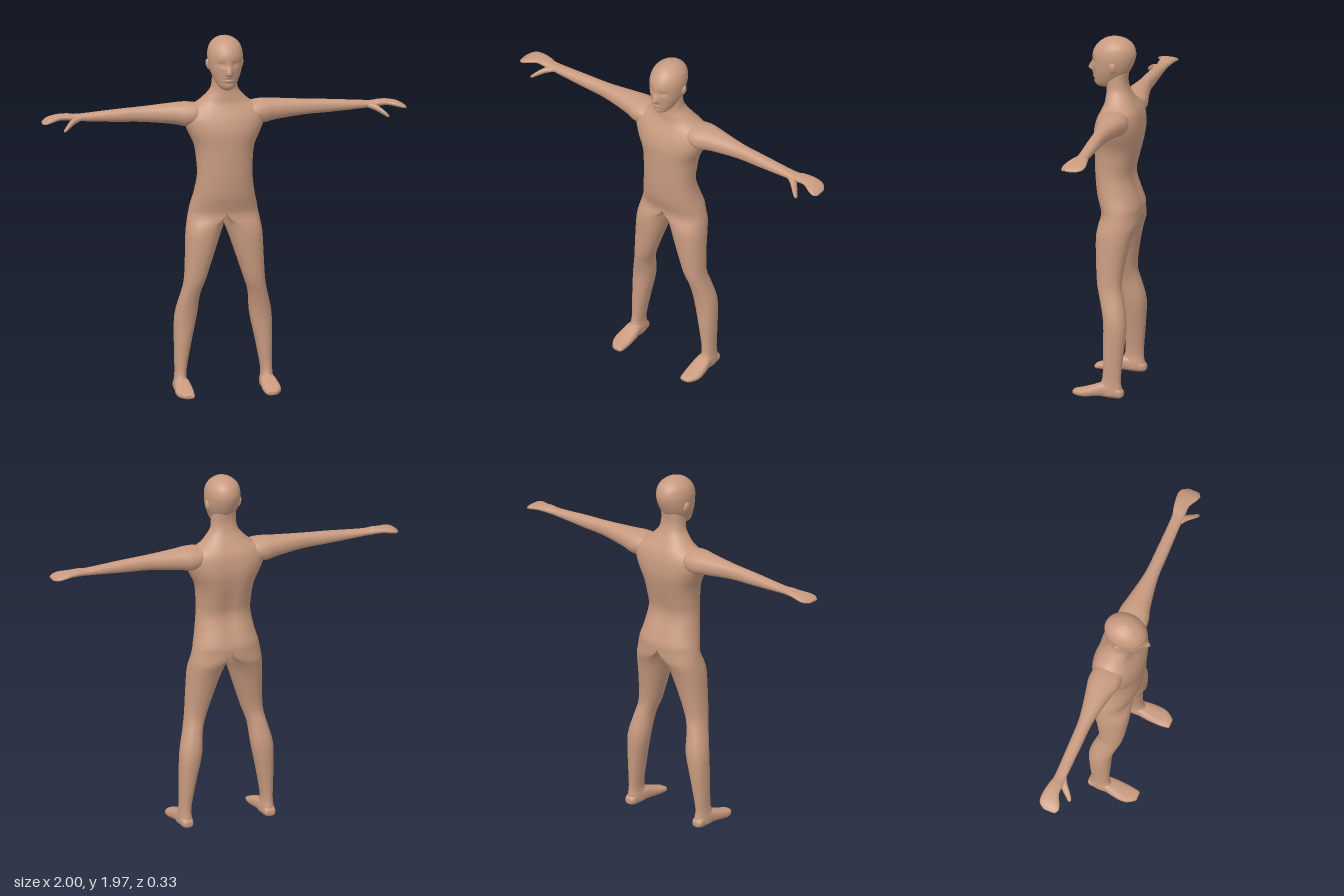
import * as THREE from 'three';
import { mergeGeometries, mergeVertices } from 'three/addons/utils/BufferGeometryUtils.js';

const skin = new THREE.MeshStandardMaterial({ color: 0xc99b80 });
skin.name = 'skin';

// Smoothly blends a list of cross-section rows, n steps between neighbours
function blend(rows, n) {
  const out = [];
  const at = i => rows[Math.min(Math.max(i, 0), rows.length - 1)];
  for (let i = 0; i < rows.length - 1; i++) {
    for (let s = 0; s < n; s++) {
      const k = s / n;
      out.push(at(i).map((b, j) => {
        const a = at(i - 1)[j], c = at(i + 1)[j], d = at(i + 2)[j];
        return b + 0.5 * k * (c - a + k * (2 * a - 5 * b + 4 * c - d + k * (3 * (b - c) + d - a)));
      }));
    }
  }
  out.push(at(rows.length - 1));
  return out;
}

// Lofts rounded sections [t, u0, u1, v0, v1, half] with rising t; place() maps (t, u, v) to a point.
// half = 1 turns a section into a half oval closed along u = 0.
function loft(rows, place, { seg = 24, steps = 3, power = 0.9, sculpt } = {}) {
  const rings = blend(rows, steps), pts = [], idx = [];
  const round = v => Math.sign(v) * Math.abs(v) ** power;
  const add = p => { if (sculpt) sculpt(p); pts.push(p); };
  for (const [t, u0, u1, v0, v1, half = 0] of rings) {
    for (let i = 0; i < seg; i++) {
      const a = (i / seg) * Math.PI * 2, c = round(Math.cos(a));
      const u = THREE.MathUtils.lerp((u0 + u1) / 2 + (u1 - u0) / 2 * c,
        u1 * Math.max(0, c), THREE.MathUtils.clamp(half, 0, 1));
      add(place(t, u, (v0 + v1) / 2 + (v1 - v0) / 2 * round(Math.sin(a))));
    }
  }
  const last = rings.length - 1, pole = rings.length * seg;
  for (const r of [rings[0], rings[last]]) add(place(r[0], (r[1] + r[2]) / 2, (r[3] + r[4]) / 2));
  const [T, U, V] = [place(1, 0, 0), place(0, 1, 0), place(0, 0, 1)];
  const flip = U.cross(V).dot(T) < 0;
  const tri = (...f) => {
    if (f.every(i => Math.abs(pts[i].x) < 1e-6)) return; // no wall on the mirror plane
    idx.push(...(flip ? f.reverse() : f));
  };
  for (let i = 0; i < seg; i++) {
    const j = (i + 1) % seg;
    for (let r = 0; r < last; r++) {
      const p = r * seg, q = p + seg;
      tri(p + i, p + j, q + j);
      tri(p + i, q + j, q + i);
    }
    tri(pole, j, i);
    tri(pole + 1, last * seg + i, last * seg + j);
  }
  return new THREE.BufferGeometry().setFromPoints(pts).setIndex(idx);
}

// Welds the pieces into one smooth mesh
function skinMesh(name, ...pieces) {
  const g = mergeVertices(mergeGeometries(pieces), 1e-5);
  g.computeVertexNormals();
  const mesh = new THREE.Mesh(g, skin);
  mesh.name = name;
  return mesh;
}

function ellipsoid(name, x, y, z, rx, ry, rz) {
  const mesh = new THREE.Mesh(new THREE.SphereGeometry(1, 16, 10), skin);
  mesh.name = name;
  mesh.position.set(x, y, z);
  mesh.scale.set(rx, ry, rz);
  return mesh;
}

const bell = (d, w) => Math.exp(-((d / w) ** 2));

// Soft groove along the spine
function sculptBack(p) {
  if (p.z < -0.05) p.z += 0.015 * bell(p.x, 0.04) * bell(p.y - 1.27, 0.3);
}

// Nose, eye sockets, lips and chin
function sculptFace(p) {
  if (p.z < 0.03) return;
  const x = Math.abs(p.x), y = p.y;
  const bridge = y > 1.787 ? bell(y - 1.787, 0.034) : bell(y - 1.787, 0.011);
  p.z += 0.029 * bell(x, 0.016) * bridge;
  p.z -= 0.009 * bell(x - 0.038, 0.022) * bell(y - 1.838, 0.014);
  p.z += 0.006 * bell(x, 0.025) * (bell(y - 1.765, 0.007) + bell(y - 1.748, 0.007));
  p.z -= 0.005 * bell(x, 0.028) * bell(y - 1.757, 0.004);
  p.z -= 0.003 * bell(x, 0.04) * bell(y - 1.733, 0.008);
}

// One side of the body from ankle to neck; the halves meet above the crotch
const halfBody = [
  [0.015, 0.2, 0.274, -0.108, 0.03, 0], [0.05, 0.199, 0.274, -0.108, 0.03, 0],
  [0.11, 0.205, 0.267, -0.101, 0, 0], [0.27, 0.176, 0.269, -0.115, 0, 0],
  [0.42, 0.145, 0.266, -0.124, 0.003, 0], [0.54, 0.133, 0.238, -0.1, 0.028, 0],
  [0.62, 0.107, 0.222, -0.085, 0.048, 0], [0.75, 0.064, 0.215, -0.103, 0.06, 0],
  [0.87, 0.024, 0.21, -0.13, 0.066, 0], [0.93, 0.003, 0.202, -0.152, 0.062, 0.2],
  [0.965, 0, 0.196, -0.161, 0.058, 0.7], [1.0, 0, 0.189, -0.165, 0.058, 1],
  [1.04, 0, 0.181, -0.165, 0.068, 1], [1.1, 0, 0.166, -0.147, 0.084, 1],
  [1.2, 0, 0.151, -0.118, 0.095, 1], [1.28, 0, 0.153, -0.132, 0.098, 1],
  [1.37, 0, 0.165, -0.154, 0.1, 1], [1.45, 0, 0.202, -0.166, 0.1, 1],
  [1.52, 0, 0.225, -0.161, 0.083, 1], [1.57, 0, 0.205, -0.147, 0.06, 1],
  [1.605, 0, 0.146, -0.128, 0.045, 1], [1.64, 0, 0.107, -0.108, 0.04, 1],
  [1.68, 0, 0.076, -0.089, 0.037, 1], [1.73, 0, 0.068, -0.078, 0.04, 1],
  [1.79, 0, 0.066, -0.084, 0.04, 1],
];

// Head sections: height, half width, back z, front z
const headRows = [
  [1.69, 0.02, 0.02, 0.082], [1.7, 0.037, -0.01, 0.1], [1.72, 0.054, -0.035, 0.109],
  [1.76, 0.074, -0.07, 0.112], [1.8, 0.088, -0.097, 0.115], [1.85, 0.095, -0.117, 0.118],
  [1.89, 0.094, -0.121, 0.114], [1.93, 0.081, -0.106, 0.091], [1.96, 0.05, -0.07, 0.053],
  [1.974, 0.012, -0.025, 0.012],
].map(([y, w, back, front]) => [y, -w, w, back, front]);

const armRows = [
  [0.1, 1.525, 1.585, -0.1, 0.015], [0.16, 1.488, 1.601, -0.126, 0.043],
  [0.22, 1.477, 1.606, -0.13, 0.04], [0.28, 1.489, 1.603, -0.117, 0.022],
  [0.45, 1.508, 1.592, -0.085, -0.006], [0.6, 1.515, 1.583, -0.08, -0.01],
  [0.8, 1.529, 1.567, -0.078, -0.015], [0.85, 1.534, 1.57, -0.087, -0.013],
  [0.9, 1.537, 1.568, -0.096, -0.012], [0.95, 1.529, 1.559, -0.1, 0.012],
  [0.98, 1.523, 1.547, -0.09, 0.018], [1.0, 1.523, 1.533, -0.06, 0.003],
];

const thumbRows = [
  [0.77, 1.538, 1.556, -0.06, -0.025], [0.82, 1.52, 1.555, -0.05, 0.004],
  [0.855, 1.505, 1.538, -0.015, 0.033], [0.882, 1.491, 1.515, 0.02, 0.052],
  [0.895, 1.49, 1.5, 0.036, 0.05],
];

// Foot from heel to toes
const footRows = [
  [-0.116, 0.217, 0.258, 0.012, 0.038], [-0.1, 0.206, 0.27, 0.002, 0.055],
  [-0.05, 0.2, 0.273, 0, 0.075], [-0.01, 0.196, 0.276, 0.004, 0.085],
  [0.03, 0.191, 0.284, 0.006, 0.071], [0.08, 0.19, 0.289, 0.001, 0.053],
  [0.12, 0.192, 0.284, 0, 0.04], [0.155, 0.197, 0.262, 0.002, 0.031],
  [0.166, 0.203, 0.25, 0.008, 0.024],
];

export function createModel() {
  const figure = new THREE.Group();
  figure.name = 'humanFigure';

  // Torso and legs, welded along the middle
  figure.add(skinMesh('torsoAndLegs', ...[1, -1].map(s => loft(halfBody,
    (y, x, z) => new THREE.Vector3(s * Math.max(0, x), y, z), { seg: 40, sculpt: sculptBack }))));

  figure.add(skinMesh('head', loft(headRows, (y, x, z) => new THREE.Vector3(x, y, z),
    { seg: 72, steps: 8, power: 1, sculpt: sculptFace })));

  for (const s of [1, -1]) {
    const side = s > 0 ? 'left' : 'right';
    const across = (x, y, z) => new THREE.Vector3(s * x, y, z);
    const forward = (z, x, y) => new THREE.Vector3(s * x, y, z);

    figure.add(skinMesh(side + 'Arm', loft(armRows, across, { seg: 20 })));
    figure.add(skinMesh(side + 'Thumb', loft(thumbRows, across, { seg: 12 })));
    figure.add(skinMesh(side + 'Foot', loft(footRows, forward, { seg: 20, power: 0.75 })));
    figure.add(ellipsoid(side + 'Eye', s * 0.038, 1.837, 0.087, 0.016, 0.006, 0.014));

    // Ear lying close to the head
    const ear = ellipsoid(side + 'Ear', s * 0.089, 1.818, -0.015, 0.014, 0.032, 0.022);
    ear.rotation.z = s * -0.2;
    figure.add(ear);
  }
  return figure;
}
